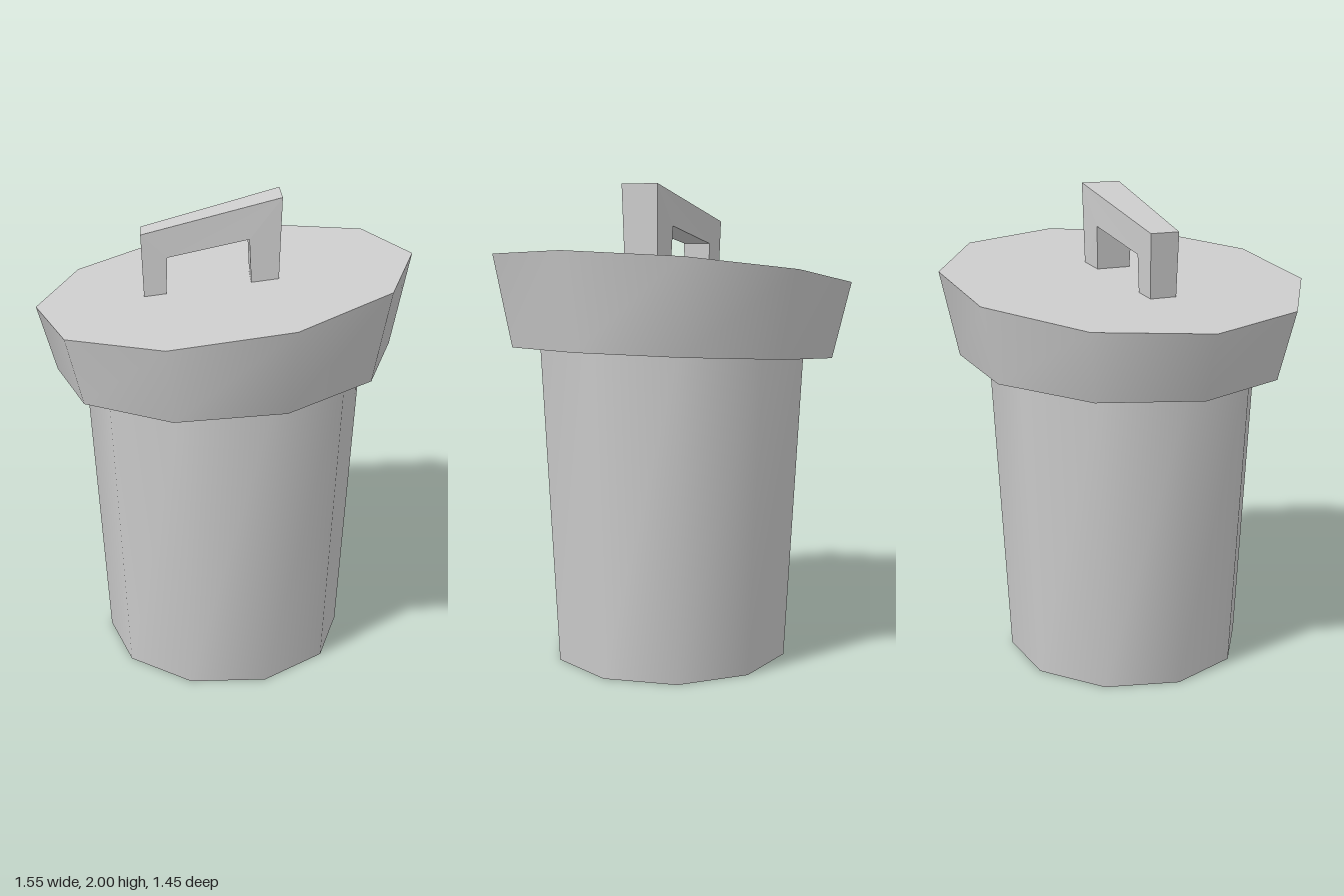
import * as THREE from 'three';

const SIDES = 10;

// Ten-sided tapered drum whose rims lie on tilted planes: y = height + slope * x
function tiltedDrum(bottom, top, zScale) {
  const geo = new THREE.CylinderGeometry(top.r, bottom.r, 1, SIDES, 1, false, Math.PI / 2);
  const pos = geo.attributes.position;
  for (let i = 0; i < pos.count; i++) {
    const rim = pos.getY(i) > 0 ? top : bottom;
    pos.setY(i, rim.y + rim.slope * pos.getX(i));
    pos.setZ(i, pos.getZ(i) * zScale);
  }
  geo.computeVertexNormals();
  // Join the shading across the seam of the side wall
  const n = geo.attributes.normal;
  for (const row of [0, SIDES + 1]) {
    const a = new THREE.Vector3().fromBufferAttribute(n, row);
    a.add(new THREE.Vector3().fromBufferAttribute(n, row + SIDES)).normalize();
    n.setXYZ(row, a.x, a.y, a.z);
    n.setXYZ(row + SIDES, a.x, a.y, a.z);
  }
  return geo;
}

// Slanted arch, wider in z towards its tall end and its top
function handleGeometry() {
  const outline = [
    [-0.325, 1.57], [-0.235, 1.58], [-0.23, 1.755], [0.1, 1.83],
    [0.11, 1.63], [0.22, 1.645], [0.23, 2.0], [-0.335, 1.85],
  ].map(([x, y]) => new THREE.Vector2(x, y));
  const geo = new THREE.ExtrudeGeometry(new THREE.Shape(outline), { depth: 1, bevelEnabled: false });
  const pos = geo.attributes.position;
  for (let i = 0; i < pos.count; i++) {
    const t = (pos.getX(i) + 0.335) / 0.565;
    const lift = THREE.MathUtils.clamp((pos.getY(i) - 1.6) / 0.25, 0, 1);
    const half = (0.063 + 0.024 * t) * (0.9 + 0.1 * lift);
    const mid = 0.012 - 0.008 * t;
    pos.setZ(i, mid + (pos.getZ(i) > 0.5 ? half : -half));
  }
  geo.computeVertexNormals();
  return geo;
}

export function createModel() {
  const model = new THREE.Group();
  model.name = 'trashCan';
  const grey = new THREE.MeshStandardMaterial({ color: 0xcccccc });
  grey.name = 'light grey';

  const add = (name, geo) => {
    const mesh = new THREE.Mesh(geo, grey);
    mesh.name = name;
    model.add(mesh);
  };

  add('body', tiltedDrum({ r: 0.513, y: 0, slope: 0 }, { r: 0.582, y: 1.32, slope: 0.068 }, 0.977));
  add('lid', tiltedDrum({ r: 0.697, y: 1.303, slope: 0.068 }, { r: 0.773, y: 1.635, slope: 0.136 }, 0.988));
  add('handle', handleGeometry());
  return model;
}
